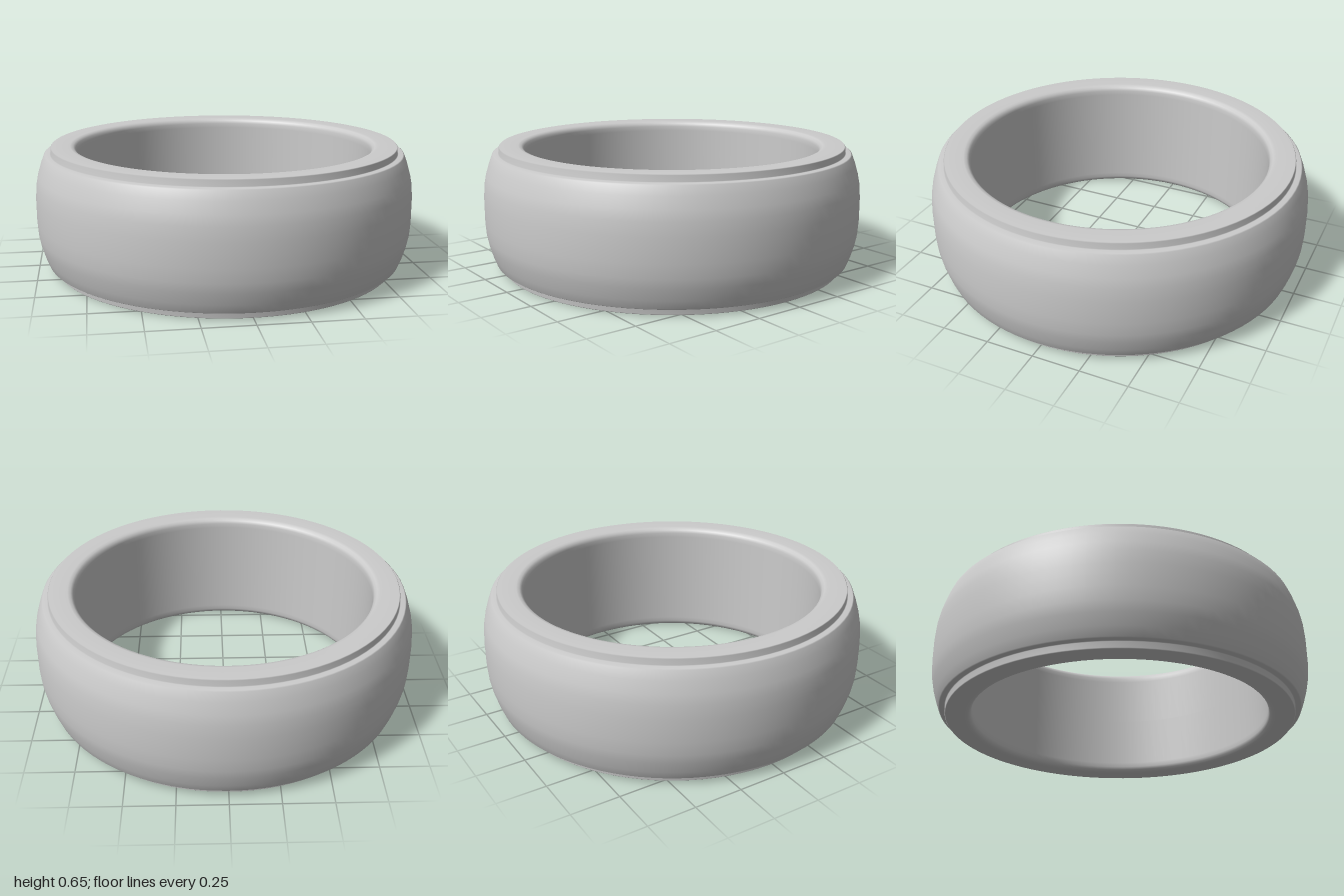
import * as THREE from 'three';

const HEIGHT = 0.65;
const MID = HEIGHT / 2;

// Upper half of the cross-section as [radius, height above the middle], outside to inside
const upperHalf = [
  [1.0, 0.06], [0.995, 0.13], [0.985, 0.18], [0.967, 0.24], [0.95, 0.284], [0.944, 0.288], // domed band
  [0.92, 0.289], [0.915, 0.291],                                               // step
  [0.915, 0.321], [0.911, 0.325],                                              // raised rim
  [0.815, 0.325], [0.798, 0.321], [0.786, 0.311], [0.78, 0.295], [0.78, 0.27], // rounded inner edge
];

export function createModel() {
  const group = new THREE.Group();
  group.name = 'ring';

  // Mirror the half section; start and end at the middle of the inner wall
  const lower = upperHalf.map(([r, h]) => [r, -h]).reverse();
  const section = [[0.78, 0], ...lower, [1.0, 0], ...upperHalf, [0.78, 0]];
  const points = section.map(([r, h]) => new THREE.Vector2(r, MID + h));

  const band = new THREE.Mesh(
    new THREE.LatheGeometry(points, 96),
    new THREE.MeshStandardMaterial({ color: 0xcccccc })
  );
  band.name = 'band';
  group.add(band);
  return group;
}
